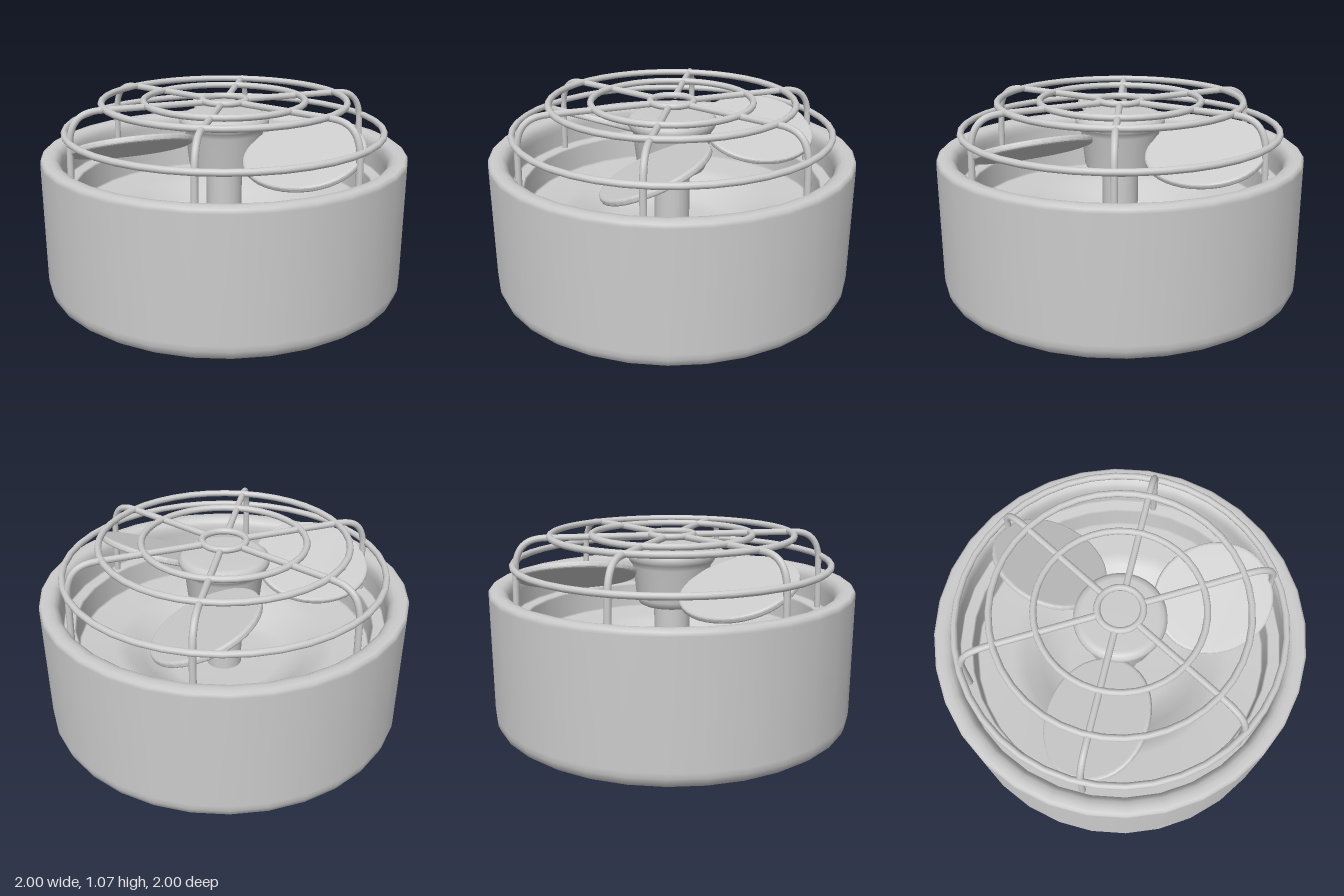
import * as THREE from 'three';

const material = new THREE.MeshStandardMaterial({ color: 0xcccccc, side: THREE.DoubleSide });

function add(parent, geometry, name) {
  const mesh = new THREE.Mesh(geometry, material);
  mesh.name = name;
  parent.add(mesh);
  return mesh;
}

function lathe(points, segments) {
  return new THREE.LatheGeometry(points.map(([r, y]) => new THREE.Vector2(r, y)), segments);
}

// Egg-shaped blade outline, root towards -y and tip towards +y
function bladeGeometry() {
  const outline = [];
  for (let i = 0; i < 40; i++) {
    const a = (i / 40) * Math.PI * 2;
    const c = Math.cos(a), s = Math.sin(a);
    const x = 0.28 * Math.sign(c) * Math.abs(c) ** 0.9;
    outline.push(new THREE.Vector2(x, 0.31 * s));
  }
  const geometry = new THREE.ExtrudeGeometry(new THREE.Shape(outline), {
    depth: 0.012, bevelEnabled: true, bevelThickness: 0.012, bevelSize: 0.015, bevelSegments: 3,
  });
  geometry.translate(0, 0, -0.006);
  geometry.rotateX(-Math.PI / 2); // tip now points to -z, face up
  geometry.rotateZ(-0.4); // pitch: -x edge raised
  return geometry.translate(0, 0.835, -0.525);
}

export function createModel() {
  const model = new THREE.Group();
  model.name = 'cagedFan';

  // Drum housing: closed base, rounded rim, inner ledge and dished floor
  add(model, lathe([
    [0, 0], [0.9, 0], [0.92, 0.002], [0.955, 0.012], [0.985, 0.035], [0.998, 0.07], [1, 0.1],
    [1, 0.75], [0.998, 0.77], [0.985, 0.78], [0.95, 0.78], [0.925, 0.775], [0.905, 0.76],
    [0.895, 0.735], [0.89, 0.7], [0.89, 0.61], [0.885, 0.6], [0.83, 0.6], [0.82, 0.59],
    [0.82, 0.46], [0.81, 0.45], [0.62, 0.44], [0.55, 0.42], [0.46, 0.36], [0.38, 0.31],
    [0.3, 0.29], [0, 0.29],
  ], 32), 'housing');

  // Rotor: hub, shaft and three pitched blades
  const rotor = new THREE.Group();
  rotor.name = 'rotor';
  model.add(rotor);
  add(rotor, lathe([
    [0, 0.66], [0.16, 0.66], [0.18, 0.67], [0.195, 0.7], [0.215, 0.88], [0.235, 0.91],
    [0.246, 0.93], [0.243, 0.955], [0.225, 0.972], [0.2, 0.977], [0, 0.977],
  ], 40), 'hub');
  const shaft = add(rotor, new THREE.CylinderGeometry(0.1, 0.1, 0.4, 24), 'shaft');
  shaft.position.y = 0.48;
  const blade = bladeGeometry();
  for (let i = 0; i < 3; i++) {
    add(rotor, blade, 'blade').rotation.y = (i * Math.PI * 2) / 3;
  }

  // Wire guard: concentric rings and six bent spokes
  const guard = new THREE.Group();
  guard.name = 'guard';
  model.add(guard);
  for (const [radius, y] of [[0.118, 1.05], [0.44, 1.05], [0.665, 1.05], [0.867, 0.9]]) {
    const ring = add(guard, new THREE.TorusGeometry(radius, 0.018, 10, 40), 'guardRing');
    ring.rotation.x = Math.PI / 2;
    ring.position.y = y;
  }
  const path = new THREE.CurvePath();
  const v = (y, r) => new THREE.Vector3(0, y, r);
  path.add(new THREE.LineCurve3(v(1.045, 0.118), v(1.045, 0.68)));
  path.add(new THREE.CubicBezierCurve3(v(1.045, 0.68), v(1.045, 0.78), v(1.01, 0.835), v(0.9, 0.85)));
  path.add(new THREE.LineCurve3(v(0.9, 0.85), v(0.59, 0.858)));
  const spoke = new THREE.TubeGeometry(path, 48, 0.018, 10);
  for (let i = 0; i < 6; i++) {
    add(guard, spoke, 'guardSpoke').rotation.y = (i * Math.PI) / 3;
  }

  return model;
}
